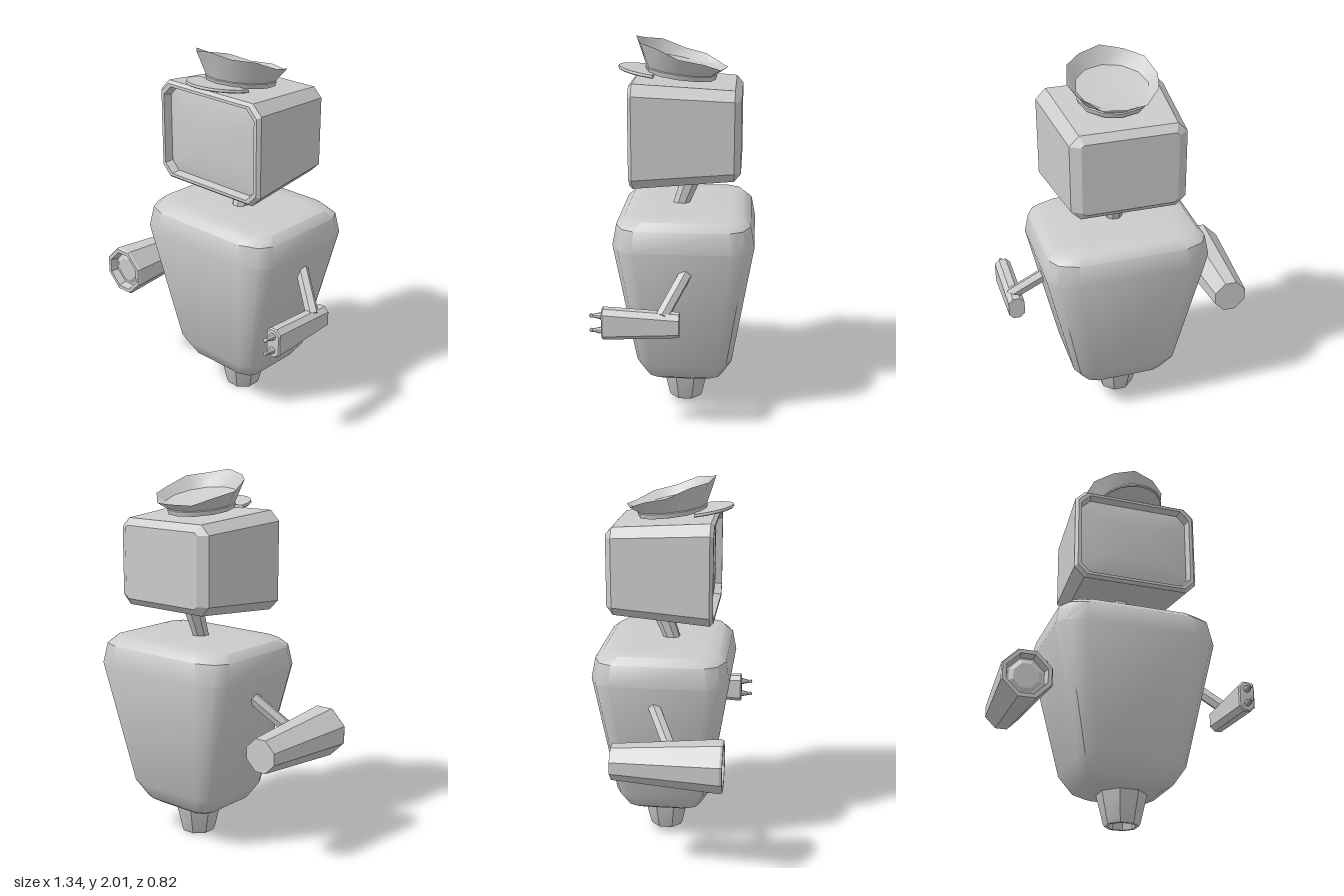
import * as THREE from 'three';
import { toCreasedNormals } from 'three/addons/utils/BufferGeometryUtils.js';

const CX = 0.063; // middle of body and head
const material = new THREE.MeshStandardMaterial({ color: 0xcccccc, side: THREE.DoubleSide });

function mesh(name, geometry, crease = 0.35) {
  const m = new THREE.Mesh(toCreasedNormals(geometry, crease), material);
  m.name = name;
  return m;
}

// Skin over a stack of equal-length rings, closed at both ends by fans.
function loft(rings, startCentre, endCentre) {
  const n = rings[0].length;
  const pos = rings.flat(2);
  const index = [];
  const middle = (ring) => [0, 1, 2].map((k) => ring.reduce((s, p) => s + p[k], 0) / n);
  pos.push(...(startCentre || middle(rings[0])), ...(endCentre || middle(rings.at(-1))));
  const first = rings.length * n, last = (rings.length - 1) * n;
  for (let j = 0; j < n; j++) {
    const k = (j + 1) % n;
    for (let i = 0; i < rings.length - 1; i++) {
      const a = i * n + j, b = i * n + k;
      index.push(a, b, b + n, a, b + n, a + n);
    }
    index.push(first, k, j, first + 1, last + j, last + k);
  }
  const g = new THREE.BufferGeometry();
  g.setAttribute('position', new THREE.Float32BufferAttribute(pos, 3));
  g.setIndex(index);
  return g;
}

// Rectangle with cut corners, facing +z.
function octagon(cx, cy, z, w, h, c) {
  return [[w, -h + c], [w, h - c], [w - c, h], [-w + c, h], [-w, h - c], [-w, -h + c], [-w + c, -h], [w - c, -h]]
    .map(([x, y]) => [cx + x, cy + y, z]);
}

// Horizontal polygon; height may depend on z and angle.
function disc(cx, cz, r, n, height, turn = 0) {
  return Array.from({ length: n }, (_, i) => {
    const a = (i / n) * Math.PI * 2 + turn;
    const z = cz - r * Math.sin(a);
    return [cx + r * Math.cos(a), height(z, a), z];
  });
}

// Tapered bar between two points.
function bar(name, from, to, r0, r1, sides) {
  const a = new THREE.Vector3(...from), b = new THREE.Vector3(...to);
  const dir = b.clone().sub(a);
  const g = new THREE.CylinderGeometry(r1, r0, dir.length(), sides);
  g.rotateY(Math.PI / sides);
  g.applyQuaternion(new THREE.Quaternion().setFromUnitVectors(new THREE.Vector3(0, 1, 0), dir.normalize()));
  g.translate(...a.add(b).multiplyScalar(0.5).toArray());
  return mesh(name, g);
}

function makeBody() {
  // Height, half width, half depth
  const levels = [
    [0.165, 0.17, 0.15], [0.2, 0.233, 0.205], [0.29, 0.293, 0.255],
    [0.97, 0.443, 0.366], [1.08, 0.423, 0.346], [1.118, 0.385, 0.305], [1.125, 0.3, 0.23],
  ];
  // One corner: straight side, corner ridge, straight front
  const corner = [[1, 0.7], [0.91, 0.89], [0.68, 1]];
  const flip = (sx, sz) => corner.map(([x, z]) => [x * sx, z * sz]);
  const outline = [
    ...flip(1, -1), ...flip(-1, -1).reverse(), ...flip(-1, 1), ...flip(1, 1).reverse(),
  ];
  return mesh('body', loft(levels.map(([y, w, d]) => outline.map(([x, z]) => [CX + x * w, y, -0.043 + z * d]))), 0.66);
}

function makeFoot() {
  const ring = (y, flat) => disc(CX, -0.042, flat / Math.cos(Math.PI / 8), 8, () => y, Math.PI / 8);
  return mesh('foot', loft([ring(0.04, 0.06), ring(0, 0.068), ring(0, 0.082), ring(0.012, 0.089), ring(0.2, 0.131)]));
}

function makeHead() {
  const head = new THREE.Group();
  head.name = 'head';
  const ring = (z, w, h, c) => octagon(CX, 1.536, z, w, h, c);
  // Casing from the back plate to the recessed front frame
  head.add(mesh('casing', loft([
    ring(-0.332, 0.25, 0.195, 0.015), ring(-0.298, 0.302, 0.232, 0.05), ring(0.215, 0.348, 0.268, 0.055),
    ring(0.233, 0.333, 0.254, 0.052), ring(0.233, 0.315, 0.239, 0.05), ring(0.19, 0.305, 0.23, 0.048),
  ])));
  head.add(mesh('screen', loft([
    ring(0.19, 0.306, 0.231, 0.048), ring(0.203, 0.24, 0.18, 0.05), ring(0.211, 0.12, 0.09, 0.04),
  ], null, [CX, 1.536, 0.213]), 0.7));
  return head;
}

function makeHat() {
  const hat = new THREE.Group();
  hat.name = 'hat';
  const base = (lift) => (z) => 1.807 + lift + 0.13 * z;
  const rim = (z, a) => 1.922 + 0.33 * (z + 0.015) + 0.006 * Math.cos(6 * (a + Math.PI / 2));
  const ring = (r, height, cz = -0.012) => disc(CX, cz, r, 12, height);
  // Band, flared wall, wavy rim and dished top
  hat.add(mesh('crown', loft([
    ring(0.18, base(0)), ring(0.187, base(0.024)), ring(0.182, base(0.028)),
    ring(0.237, rim, -0.018), ring(0.19, (z) => 1.872 + 0.22 * z), ring(0.1, (z) => 1.862 + 0.2 * z),
  ]), 0.62));
  // Thin curved visor
  const edge = (lift, r) => Array.from({ length: 11 }, (_, i) => {
    const a = (i / 10) * Math.PI;
    const z = 0.12 + 0.195 * r * Math.sin(a);
    return [CX - 0.181 * r * Math.cos(a), 1.803 + lift + 0.11 * z + 0.008 * Math.sin(a), z];
  });
  hat.add(mesh('visor', loft([edge(-0.005, 0.97), edge(0, 1), edge(0.012, 0.98)]), 0.6));
  return hat;
}

// Upper arm on one side; side is +1 for the model's left.
function makeArm(side) {
  const at = (x, y, z) => [CX + side * x, y, z];
  return bar(side > 0 ? 'leftArm' : 'rightArm', at(0.4, 0.853, -0.062), at(0.568, 0.685, 0.045), 0.035, 0.035, 6);
}

function makeBlaster() {
  const ring = (z, r) => octagon(-0.543, 0.625, z, r, r, r * 0.64);
  return mesh('blaster', loft([
    ring(-0.256, 0.088), ring(0.305, 0.131), ring(0.317, 0.125), ring(0.317, 0.105),
    ring(0.275, 0.095), ring(0.275, 0.085), ring(0.288, 0.065),
  ]));
}

function makeHand() {
  const hand = new THREE.Group();
  hand.name = 'leftHand';
  const x = 0.623, ring = (z, w, h) => octagon(x, 0.641, z, w, h, 0.025);
  hand.add(mesh('palm', loft([ring(-0.042, 0.044, 0.062), ring(0.34, 0.044, 0.082), ring(0.347, 0.038, 0.076)])));
  // Two pointed contacts
  for (const y of [0.602, 0.68]) {
    hand.add(bar('prong', [x, y, 0.34], [x, y, 0.398], 0.021, 0.007, 8));
    const tip = mesh('prongTip', new THREE.SphereGeometry(0.011, 10, 8), 1);
    tip.position.set(x, y, 0.4);
    hand.add(tip);
  }
  return hand;
}

export function createModel() {
  const robot = new THREE.Group();
  robot.name = 'robot';
  robot.add(
    makeFoot(), makeBody(),
    bar('neck', [CX, 1.07, 0.005], [CX, 1.34, -0.095], 0.041, 0.06, 8),
    makeHead(), makeHat(),
    makeArm(1), makeArm(-1), makeBlaster(), makeHand(),
  );
  return robot;
}
